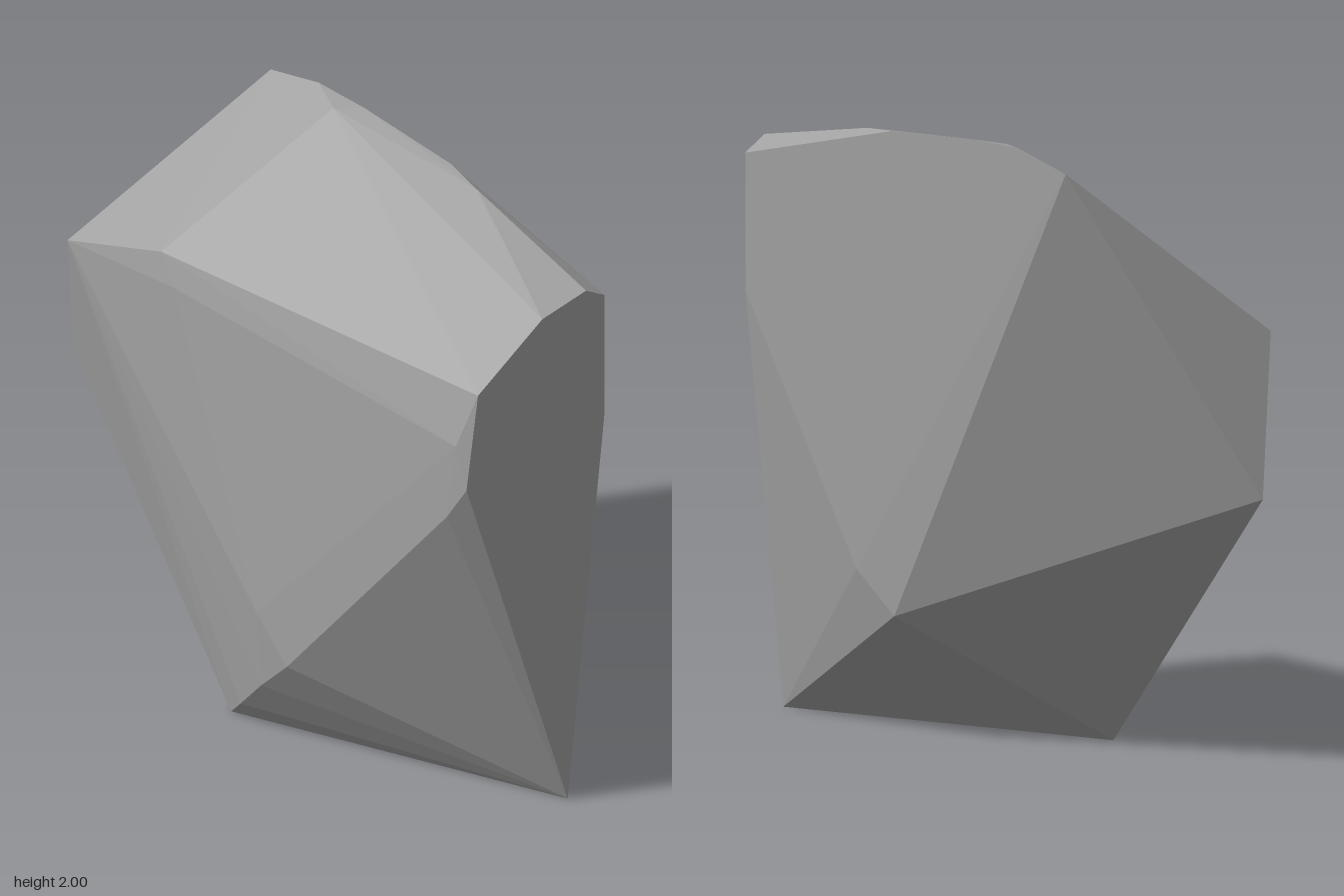
import * as THREE from 'three';
import { ConvexGeometry } from 'three/addons/geometries/ConvexGeometry.js';

// A faceted rock slab: the convex hull of its chiselled corners.
export function createModel() {
  const stone = new THREE.MeshStandardMaterial({ color: 0xa0a0a0 });
  stone.name = 'grey stone';

  const corners = [
    // flat front cut
    [0.17, 0, 0.98], [0.33, 1.36, 0.98], [0.33, 1.8, 0.98], [0.25, 1.85, 0.98],
    [0.06, 1.825, 0.98], [-0.22, 1.66, 0.98], [-0.27, 1.33, 0.98],
    // top ridge
    [0.3, 1.955, 0.43], [0.33, 1.97, 0.28], [0.33, 2, -0.12], [0.33, 2, -0.33],
    [0.27, 1.99, -0.2], [0.33, 1.95, -0.55],
    // back point
    [-0.25, 1.42, -0.87], [-0.12, 0.91, -0.98],
    // lower edge of the +x side
    [0.33, 0.54, 0.45], [0.32, 0.41, 0.28],
    // upper edge of the -x side
    [-0.25, 1.57, -0.44], [-0.27, 1.48, -0.36], [-0.27, 1.47, 0.93], [-0.28, 1.2, 0.9],
    // rounded lower edge of the -x side
    [-0.33, 0.5, 0.08], [-0.33, 0.36, 0.22], [-0.31, 0.22, 0.08],
    [-0.275, 0.08, -0.05], [-0.24, 0, -0.13],
  ].map((p) => new THREE.Vector3(...p));

  const rock = new THREE.Mesh(new ConvexGeometry(corners), stone);
  rock.name = 'rock';

  const group = new THREE.Group();
  group.name = 'rockSlab';
  group.add(rock);
  return group;
}
